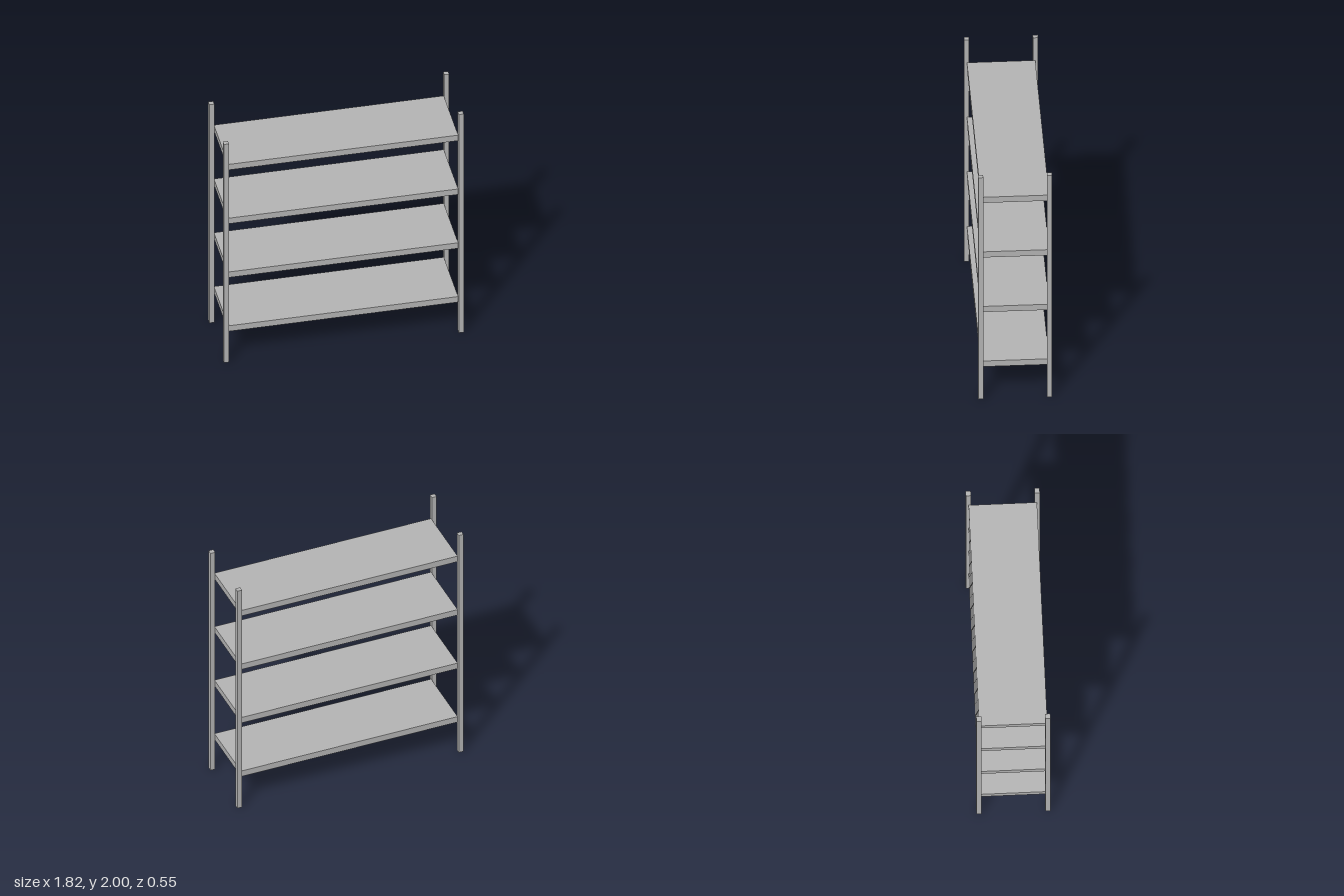
import * as THREE from 'three';

export function createModel() {
  const model = new THREE.Group();
  model.name = 'shelvingUnit';
  const grey = new THREE.MeshStandardMaterial({ color: 0xb4b4b4 });
  grey.name = 'grey metal';

  const addBox = (name, size, position) => {
    const mesh = new THREE.Mesh(new THREE.BoxGeometry(...size), grey);
    mesh.name = name;
    mesh.position.set(...position);
    model.add(mesh);
  };

  // Four square corner posts
  const post = 0.038;
  for (const [side, sx] of [['Left', 1], ['Right', -1]]) {
    for (const [end, sz] of [['front', 1], ['back', -1]]) {
      addBox(`${end}${side}Post`, [post, 2, post], [sx * 0.889, 1, sz * 0.255]);
    }
  }

  // Four evenly spaced shelves, ending at the inner faces of the posts
  for (let i = 0; i < 4; i++) {
    addBox(`shelf${i + 1}`, [1.74, 0.051, 0.506], [0, 0.292 + i * 0.493, 0]);
  }
  return model;
}
